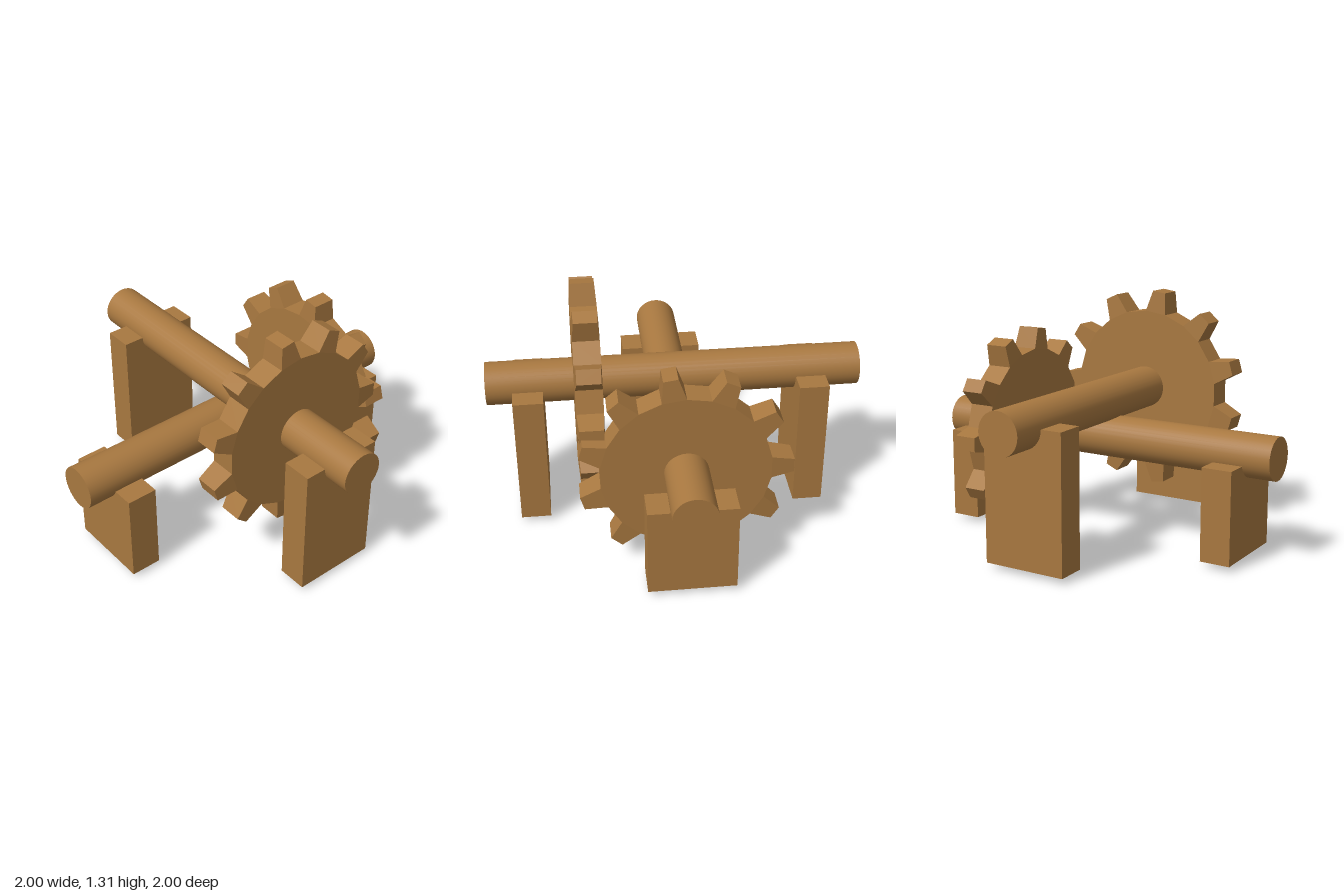
import * as THREE from 'three';
import { mergeGeometries } from 'three/addons/utils/BufferGeometryUtils.js';

const TEETH = 11, ROOT = 0.44, TIP = 0.553, THICK = 0.14;

// Gear in the XY plane with one tooth pointing to -x
function gearGeometry() {
  const half = Math.PI / (2 * TEETH);
  const inner = ROOT * Math.cos(half);
  const baseWidth = 2 * ROOT * Math.sin(half);

  // Disc whose facets alternate between tooth seat and gap
  const disc = new THREE.CylinderGeometry(ROOT, ROOT, THICK, 2 * TEETH, 1, false, -Math.PI / 2 + half);
  disc.rotateX(Math.PI / 2);
  const parts = [disc];

  // Tooth: a box narrowed in width and thickness towards its tip
  const tooth = new THREE.BoxGeometry(TIP - inner, baseWidth, THICK);
  tooth.translate((TIP + inner) / 2, 0, 0);
  const p = tooth.attributes.position;
  for (let i = 0; i < p.count; i++) {
    if (p.getX(i) > (TIP + inner) / 2) {
      p.setY(i, Math.sign(p.getY(i)) * 0.038);
      p.setZ(i, Math.sign(p.getZ(i)) * 0.062);
    }
  }
  for (let i = 0; i < TEETH; i++) {
    parts.push(tooth.clone().rotateZ(Math.PI + (i * 2 * Math.PI) / TEETH));
  }
  const flat = mergeGeometries(parts).toNonIndexed();
  flat.computeVertexNormals();
  return flat;
}

export function createModel() {
  const model = new THREE.Group();
  model.name = 'crossedGearShafts';
  const wood = new THREE.MeshStandardMaterial({ color: 0xa87840 });

  const add = (name, geometry, x, y, z) => {
    const mesh = new THREE.Mesh(geometry, wood);
    mesh.name = name;
    mesh.position.set(x, y, z);
    model.add(mesh);
    return mesh;
  };

  // Two crossing shafts
  const shaft = new THREE.CylinderGeometry(0.115, 0.115, 2, 32);
  add('upperShaft', shaft, 0, 0.77, 0).rotation.z = Math.PI / 2;
  add('lowerShaft', shaft, 0, 0.565, 0).rotation.x = Math.PI / 2;

  // Meshing gears, one on each shaft
  const gear = gearGeometry();
  add('lowerGear', gear, 0, 0.559, -0.555);
  add('upperGear', gear, 0.466, 0.763, 0).rotation.y = -Math.PI / 2;

  // Bearing blocks under the shaft ends
  const tall = new THREE.BoxGeometry(0.16, 0.735, 0.46);
  add('upperSupportRight', tall, -0.73, 0.4025, 0);
  add('upperSupportLeft', tall, 0.78, 0.4025, 0);
  const low = new THREE.BoxGeometry(0.457, 0.495, 0.165);
  add('lowerSupportFront', low, -0.002, 0.2825, 0.767);
  add('lowerSupportBack', low, -0.002, 0.2825, -0.82);

  return model;
}
